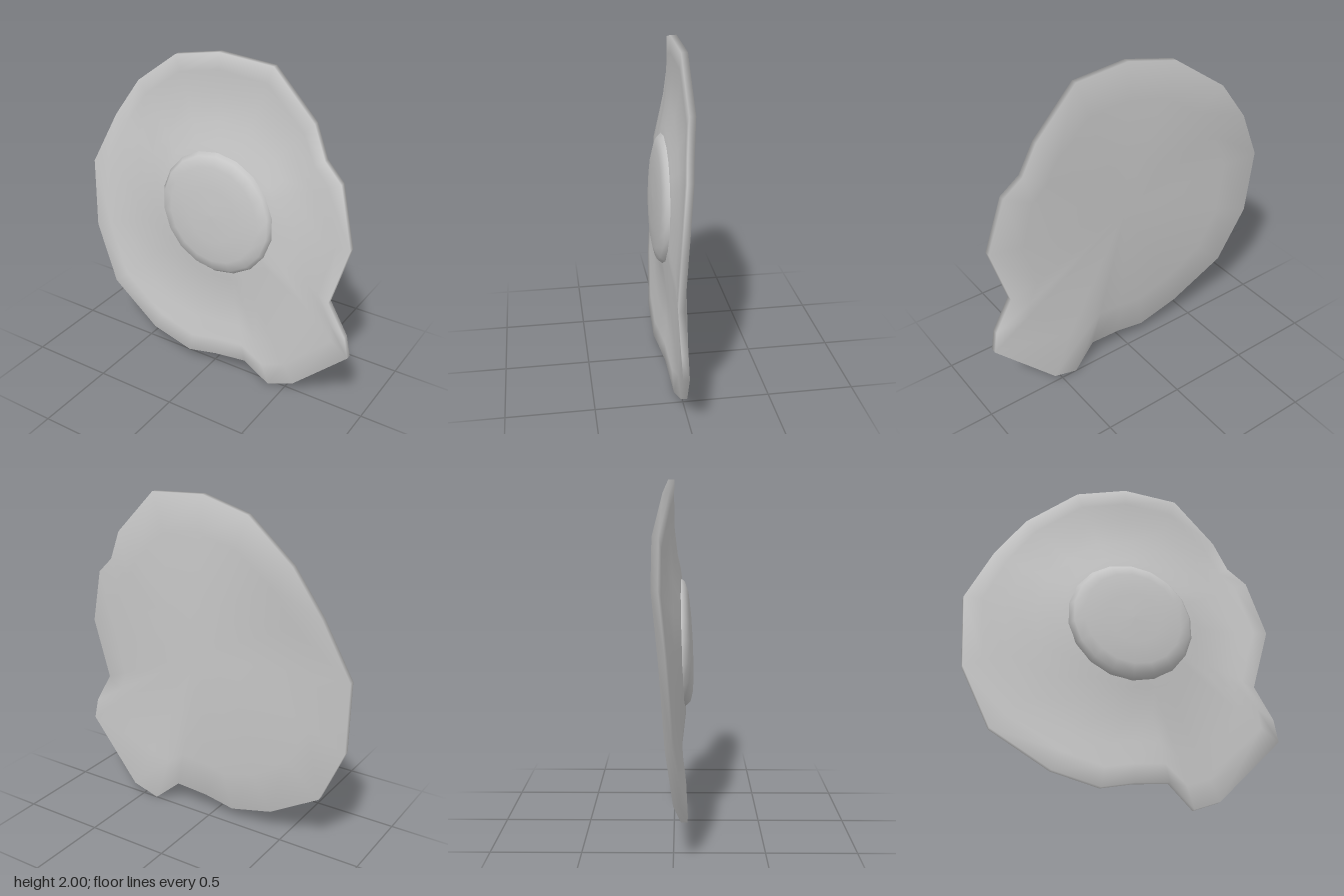
import * as THREE from 'three';

const CX = 0.04, CY = 1.075; // yolk centre

// Wavy outline of the egg white, clockwise: x, y, z of the back edge
const OUTLINE = [
  [0.02, 2.0, -0.035], [0.35, 1.98, -0.04], [0.6, 1.72, -0.04], [0.68, 1.54, -0.02],
  [0.79, 1.44, 0.0], [0.885, 1.1, 0.04], [0.78, 0.74, 0.04], [0.89, 0.55, 0.04],
  [0.915, 0.42, 0.035], [0.56, 0.06, -0.015], [0.4, 0.0, 0.0], [0.25, 0.13, 0.03],
  [0.05, 0.11, 0.04], [-0.14, 0.07, 0.045], [-0.41, 0.14, 0.04], [-0.74, 0.35, 0.0],
  [-0.9, 0.7, -0.04], [-0.92, 1.13, -0.07], [-0.76, 1.46, -0.11], [-0.58, 1.71, -0.11],
  [-0.28, 1.93, -0.06],
];

// Gently tilted plane of the underside
const floorZ = (x, y) => -0.03 - 0.035 * (y - 1.1) + 0.02 * x;

// Rings from the yolk over the rim to the middle of the back:
// r = inner circle radius, t = blend to outline, rim = blend to the rim height, h = height above it
const RINGS = [
  { r: 0.33, t: 0, rim: 0, h: 0.085 },
  { r: 0.38, t: 0.06, rim: 0, h: 0.075 },
  { r: 0.38, t: 0.3, rim: 0.1, h: 0.05 },
  { r: 0.38, t: 0.6, rim: 0.4, h: 0.036 },
  { r: 0.38, t: 0.82, rim: 0.8, h: 0.038 },
  { r: 0.38, t: 1, rim: 1, h: 0.035 },
  { r: 0.38, t: 1, rim: 1, h: 0 },
  { r: 0.38, t: 0.6, rim: 0.3, h: 0 },
  { r: 0.33, t: 0, rim: 0, h: 0 },
];

function eggWhiteGeometry() {
  const n = OUTLINE.length, pos = [], index = [];
  for (const { r, t, rim, h } of RINGS) {
    for (const [ox, oy, oz] of OUTLINE) {
      const a = Math.atan2(oy - CY, ox - CX);
      const x = THREE.MathUtils.lerp(CX + r * Math.cos(a), ox, t);
      const y = THREE.MathUtils.lerp(CY + r * Math.sin(a), oy, t);
      pos.push(x, y, THREE.MathUtils.lerp(floorZ(x, y), oz, rim) + h);
    }
  }
  for (let k = 0; k < RINGS.length - 1; k++) {
    for (let j = 0; j < n; j++) {
      const a = k * n + j, b = k * n + (j + 1) % n;
      index.push(a, b, b + n, a, b + n, a + n);
    }
  }
  // close the back with a fan
  const last = (RINGS.length - 1) * n, centre = RINGS.length * n;
  pos.push(CX, CY, floorZ(CX, CY));
  for (let j = 0; j < n; j++) index.push(last + j, last + (j + 1) % n, centre);

  const g = new THREE.BufferGeometry();
  g.setAttribute('position', new THREE.Float32BufferAttribute(pos, 3));
  g.setIndex(index);
  g.computeVertexNormals();
  return g;
}

// Low dome, turned to face the front and sheared to follow the white
function yolkGeometry() {
  const profile = [[0.345, 0.0], [0.378, 0.045], [0.35, 0.078], [0.29, 0.095], [0.16, 0.104], [0, 0.107]]
    .map(([r, z]) => new THREE.Vector2(r, z));
  const g = new THREE.LatheGeometry(profile, 18);
  g.rotateX(Math.PI / 2);
  const p = g.attributes.position;
  for (let i = 0; i < p.count; i++) {
    p.setZ(i, p.getZ(i) - 0.05 * p.getY(i) + 0.01 * p.getX(i));
  }
  g.translate(CX, CY, 0);
  return g;
}

export function createModel() {
  const group = new THREE.Group();
  group.name = 'friedEgg';
  const material = new THREE.MeshStandardMaterial({ color: 0xcccccc });
  const white = new THREE.Mesh(eggWhiteGeometry(), material);
  white.name = 'eggWhite';
  const yolk = new THREE.Mesh(yolkGeometry(), material);
  yolk.name = 'yolk';
  group.add(white, yolk);
  return group;
}
